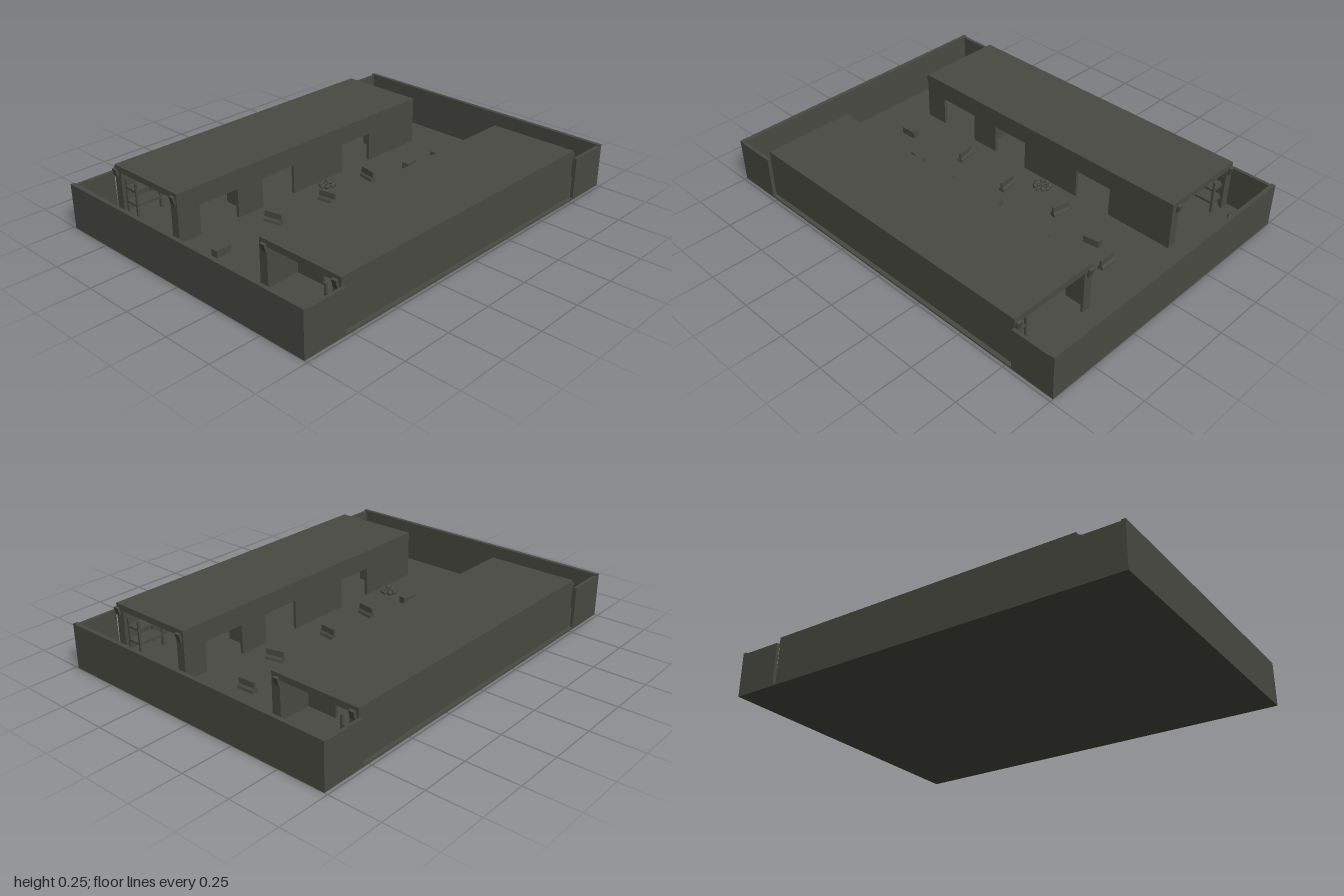
import * as THREE from 'three';

const stone = new THREE.MeshStandardMaterial({ color: 0x4a4a43 });
stone.name = 'dark olive concrete';

const FLOOR = 0.024;

function add(parent, name, geometry, x = 0, y = 0, z = 0) {
  const mesh = new THREE.Mesh(geometry, stone);
  mesh.name = name;
  mesh.position.set(x, y, z);
  parent.add(mesh);
  return mesh;
}

// Box given by its minimum and maximum on each axis
function block(parent, name, x0, x1, y0, y1, z0, z1) {
  return add(parent, name, new THREE.BoxGeometry(x1 - x0, y1 - y0, z1 - z0),
    (x0 + x1) / 2, (y0 + y1) / 2, (z0 + z1) / 2);
}

// Wall panel running from a to b with doorways cut up from the floor
function wallWithDoors(a, b, top, thick, doors, head) {
  const s = new THREE.Shape();
  s.moveTo(a, FLOOR);
  for (const [d0, d1] of doors) {
    s.lineTo(d0, FLOOR);
    s.lineTo(d0, head);
    s.lineTo(d1, head);
    s.lineTo(d1, FLOOR);
  }
  s.lineTo(b, FLOOR);
  s.lineTo(b, top);
  s.lineTo(a, top);
  return new THREE.ExtrudeGeometry(s, { depth: thick, bevelEnabled: false });
}

// Long flat-roofed hall on the +x side, open to the yard through three doors
function makeHall() {
  const hall = new THREE.Group();
  const x0 = 0.265, x1 = 0.715, z0 = -0.78, z1 = 0.785, top = 0.253;
  block(hall, 'roof', x0, x1, top, 0.265, z0, z1);
  block(hall, 'outerWall', x1 - 0.015, x1, FLOOR, top, z0, z1);

  const doors = [[-0.66, -0.44], [-0.29, -0.09], [0.24, 0.44]];
  const inner = wallWithDoors(z0, z1, top, 0.015, doors, 0.17);
  inner.rotateY(-Math.PI / 2);
  add(hall, 'yardWall', inner, x0 + 0.015);

  // Wide open ends with a header and slanted roof brackets
  for (const [z, out, bx] of [[z0, -1, [0.285, 0.7]], [z1 - 0.012, 1, [0.3, 0.69]]]) {
    add(hall, 'endWall', wallWithDoors(x0, x1, top, 0.012, [[0.31, 0.67]], 0.235), 0, 0, z);
    for (const x of bx) {
      const face = out < 0 ? z0 : z1;
      const brace = add(hall, 'roofBracket', new THREE.BoxGeometry(0.025, 0.04, 0.012),
        x, 0.232, face + out * 0.007);
      brace.rotation.x = out * 0.25;
    }
  }

  // Partitions with passages, and bunk frames in the rooms
  for (const z of [-0.37, 0.08, 0.58]) {
    add(hall, 'partition', wallWithDoors(x0 + 0.015, x1 - 0.015, top, 0.012, [[0.43, 0.55]], 0.17), 0, 0, z);
  }
  for (const z of [-0.68, -0.2, 0.3, 0.7]) {
    const bunk = new THREE.Group();
    bunk.name = 'bunk';
    hall.add(bunk);
    for (const y of [0.07, 0.14]) block(bunk, 'bunkBoard', 0.61, 0.69, y, y + 0.012, z - 0.07, z + 0.07);
    for (const x of [0.61, 0.68]) {
      for (const dz of [-0.07, 0.06]) {
        block(bunk, 'bunkPost', x, x + 0.01, FLOOR, 0.19, z + dz, z + dz + 0.01);
      }
    }
  }
  return hall;
}

// Tapered road barrier, its length along x
function barrierGeometry() {
  const s = new THREE.Shape();
  [[-0.016, 0], [0.016, 0], [0.014, 0.012], [0.006, 0.022], [0.005, 0.05], [-0.005, 0.05], [-0.006, 0.022], [-0.014, 0.012]]
    .forEach(([x, y], i) => (i ? s.lineTo(x, y) : s.moveTo(x, y)));
  const g = new THREE.ExtrudeGeometry(s, { depth: 0.09, bevelEnabled: false });
  g.translate(0, 0, -0.045);
  g.rotateY(Math.PI / 2);
  return g;
}

// Low ring of stones with logs crossed in the middle
function makeFirePit() {
  const pit = new THREE.Group();
  pit.name = 'firePit';
  for (let i = 0; i < 8; i++) {
    const a = (i / 8) * Math.PI * 2;
    const rock = add(pit, 'ringStone', new THREE.DodecahedronGeometry(0.012 + 0.002 * (i % 3)),
      Math.cos(a) * 0.033, 0.007, Math.sin(a) * 0.033);
    rock.rotation.set(i, i * 2, 0);
  }
  for (let i = 0; i < 3; i++) {
    const log = add(pit, 'log', new THREE.CylinderGeometry(0.005, 0.005, 0.055, 6), 0, 0.011 + i * 0.003, 0);
    log.rotation.set(Math.PI / 2, 0, i * Math.PI / 3);
  }
  return pit;
}

export function createModel() {
  const model = new THREE.Group();
  model.name = 'compound';

  block(model, 'floor', -0.735, 0.735, 0.016, FLOOR, -1, 1);

  // Perimeter: full end walls and short returns up to each hall
  for (const s of [-1, 1]) {
    const z = s * 0.99;
    block(model, 'endPerimeterWall', -0.735, 0.735, FLOOR, 0.235, z - 0.01, z + 0.01);
    for (const t of [-1, 1]) {
      const x = s * 0.727, zc = t * 0.882;
      block(model, 'sidePerimeterWall', x - 0.008, x + 0.008, FLOOR, 0.229, zc - 0.1, zc + 0.1);
    }
  }

  // The second hall is the first turned half way round
  const leftHall = makeHall();
  leftHall.name = 'leftHall';
  const rightHall = makeHall();
  rightHall.name = 'rightHall';
  rightHall.rotation.y = Math.PI;
  model.add(leftHall, rightHall);

  // Yard barriers: x, z, turn in degrees
  const barrier = barrierGeometry();
  for (const [x, z, deg] of [[0.01, -0.66, 2], [0.115, -0.385, 12], [-0.12, -0.275, -12], [0.09, -0.053, -8],
    [-0.09, 0.04, 8], [0.11, 0.25, -10], [-0.12, 0.36, 12]]) {
    add(model, 'barrier', barrier, x, FLOOR, z).rotation.y = THREE.MathUtils.degToRad(deg);
  }

  // Flat-topped crates
  const crate = new THREE.BoxGeometry(0.08, 0.034, 0.035);
  for (const [x, z, deg] of [[-0.06, -0.52, 98], [0.055, 0.51, 80], [-0.07, 0.71, 92]]) {
    add(model, 'crate', crate, x, FLOOR + 0.017, z).rotation.y = THREE.MathUtils.degToRad(deg);
  }

  for (const [x, z] of [[-0.64, -0.89], [-0.21, -0.08], [0.2, 0.54], [0.635, 0.88]]) {
    const pit = makeFirePit();
    pit.position.set(x, FLOOR, z);
    model.add(pit);
  }
  return model;
}
